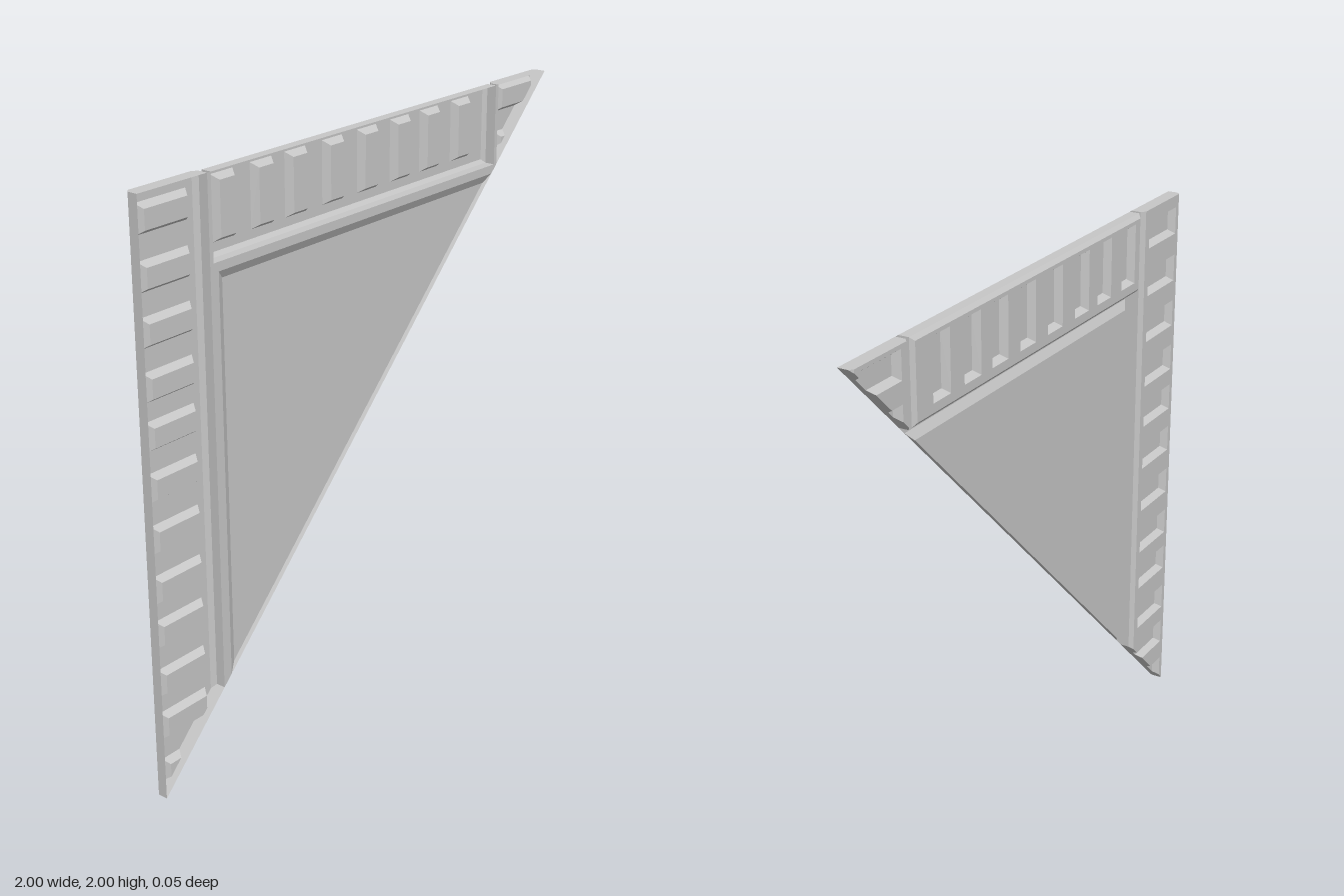
import * as THREE from 'three';

const FRONT = 0.024, FACE = -0.024, POCKET = 0.0, FIELD = 0.008;

// Signed distance above the diagonal y = x + 1
const side = (p) => p[1] - p[0] - 1;

// Keep only the part of a polygon above the diagonal
function clipDiagonal(points) {
  const out = [];
  points.forEach((a, i) => {
    const b = points[(i + 1) % points.length];
    const da = side(a), db = side(b);
    if (da >= 0) out.push(a);
    if (da * db < 0) {
      const t = da / (da - db);
      out.push(a.map((v, k) => v + (b[k] - v) * t));
    }
  });
  return out;
}

// Collects flat faces, cut off and closed along the diagonal
class Sheet {
  constructor() { this.positions = []; }
  fan(p) {
    for (let i = 1; i < p.length - 1; i++) this.positions.push(...p[0], ...p[i], ...p[i + 1]);
  }
  face(...points) {
    const p = clipDiagonal(points);
    if (p.length < 3) return;
    this.fan(p);
    // Close the cut from the sheet to the front plane
    p.forEach((a, i) => {
      const b = p[(i + 1) % p.length];
      const onCut = Math.abs(side(a)) < 1e-6 && Math.abs(side(b)) < 1e-6;
      if (!onCut || Math.abs(a[0] - b[0]) < 1e-6 || Math.min(a[2], b[2]) > FRONT - 1e-6) return;
      this.fan([b, a, [a[0], a[1], FRONT], [b[0], b[1], FRONT]]);
    });
  }
  // Rectangle [x0, y0, x1, y1] facing the back
  rect([x0, y0, x1, y1], z) {
    if (x1 - x0 < 1e-5 || y1 - y0 < 1e-5) return;
    this.face([x0, y0, z], [x0, y1, z], [x1, y1, z], [x1, y0, z]);
  }
  // Sloped or upright band between two rectangles
  ring(a, za, b, zb) {
    const corners = ([x0, y0, x1, y1], z) => [[x0, y0, z], [x0, y1, z], [x1, y1, z], [x1, y0, z]];
    const p = corners(a, za), q = corners(b, zb);
    for (let i = 0; i < 4; i++) {
      const j = (i + 1) % 4;
      this.face(p[i], p[j], q[j], q[i]);
    }
  }
  // Recess with sloping sides
  pocket(r) {
    const inner = inset(r, 0.016);
    this.ring(r, FACE, inner, POCKET);
    this.rect(inner, POCKET);
  }
  mesh(name, material) {
    const g = new THREE.BufferGeometry();
    g.setAttribute('position', new THREE.Float32BufferAttribute(this.positions, 3));
    g.computeVertexNormals();
    const m = new THREE.Mesh(g, material);
    m.name = name;
    return m;
  }
}

const inset = ([x0, y0, x1, y1], d) => [x0 + d, y0 + d, x1 - d, y1 - d];

// Upright with bevelled long edges and a column of recesses; s = -1 or 1 picks the side
function makeStile(s, centers, name, material) {
  const sheet = new Sheet();
  const profile = [[1, FRONT], [1, -0.012], [0.988, FACE], [0.735, FACE], [0.72, -0.01], [0.72, FRONT]]
    .map(([x, z]) => [x * s, z]);
  profile.forEach(([xa, za], i) => {
    if (i === 2 || i === 5) return;
    const [xb, zb] = profile[i + 1];
    const quad = [[xa, 0, za], [xa, 2, za], [xb, 2, zb], [xb, 0, zb]];
    sheet.face(...(s < 0 ? quad : quad.reverse()));
  });
  const cap = profile.map(([x, z]) => [x, 2, z]);
  sheet.face(...(s < 0 ? cap.reverse() : cap));

  // Face split around the recesses
  const strip = (a, b, y0, y1) => (s < 0 ? [-b, y0, -a, y1] : [a, y0, b, y1]);
  sheet.rect(strip(0.968, 0.988, 0, 2), FACE);
  sheet.rect(strip(0.735, 0.763, 0, 2), FACE);
  let top = 2;
  for (const c of centers) {
    const r = strip(0.763, 0.968, c - 0.048, c + 0.048);
    sheet.rect(strip(0.763, 0.968, r[3], top), FACE);
    sheet.pocket(r);
    top = r[1];
  }
  sheet.rect(strip(0.763, 0.968, 0, top), FACE);
  return sheet.mesh(name, material);
}

// Cross rail with bevelled rim and a row of recesses
function makeRail(material) {
  const sheet = new Sheet();
  const outer = [-0.705, 1.722, 0.705, 2];
  const face = inset(outer, 0.013);
  sheet.ring(outer, FRONT, outer, -0.012);
  sheet.ring(outer, -0.012, face, FACE);
  const [x0, y0, x1, y1] = face;
  const low = 1.765, high = 1.974;
  sheet.rect([x0, y0, x1, low], FACE);
  sheet.rect([x0, high, x1, y1], FACE);
  let left = x0;
  for (const c of [-0.612, -0.441, -0.286, -0.11, 0.061, 0.23, 0.388, 0.559]) {
    sheet.rect([left, low, c - 0.048, high], FACE);
    sheet.pocket([c - 0.048, low, c + 0.048, high]);
    left = c + 0.048;
  }
  sheet.rect([left, low, x1, high], FACE);
  return sheet.mesh('topRail', material);
}

// Raised centre panel with sloped border
function makePanel(material) {
  const sheet = new Sheet();
  const border = [-0.685, 0, 1, 1.692];
  const field = [-0.655, 0, 1, 1.662];
  sheet.ring(border, FRONT, field, FIELD);
  sheet.rect(field, FIELD);
  return sheet.mesh('raisedPanel', material);
}

// Flat floor of the grooves between the parts
function makeGrooves(material) {
  const sheet = new Sheet();
  sheet.rect([-0.72, 0, -0.705, 2], FRONT);
  sheet.rect([-0.705, 0, -0.685, 1.722], FRONT);
  sheet.rect([-0.685, 1.692, 0.72, 1.722], FRONT);
  sheet.rect([0.705, 1.722, 0.72, 2], FRONT);
  return sheet.mesh('grooveFloor', material);
}

// Small key bridging the groove beside the short stile
function makeKey(material) {
  const sheet = new Sheet();
  const foot = [0.705, 1.785, 0.72, 1.935];
  const head = inset(foot, 0.003);
  sheet.ring(foot, FRONT, head, 0.01);
  sheet.rect(head, 0.01);
  return sheet.mesh('grooveKey', material);
}

export function createModel() {
  const grey = new THREE.MeshStandardMaterial({ color: 0xc6c6c6, side: THREE.DoubleSide });
  grey.name = 'lightGrey';
  const group = new THREE.Group();
  group.name = 'cornerPanel';
  group.add(
    makeStile(-1, [1.909, 1.735, 1.564, 1.393, 1.236, 1.068, 0.894, 0.721, 0.566, 0.392, 0.235, 0.063], 'rightStile', grey),
    makeStile(1, [1.938, 1.77], 'leftStile', grey),
    makeRail(grey),
    makePanel(grey),
    makeGrooves(grey),
    makeKey(grey),
  );
  return group;
}
